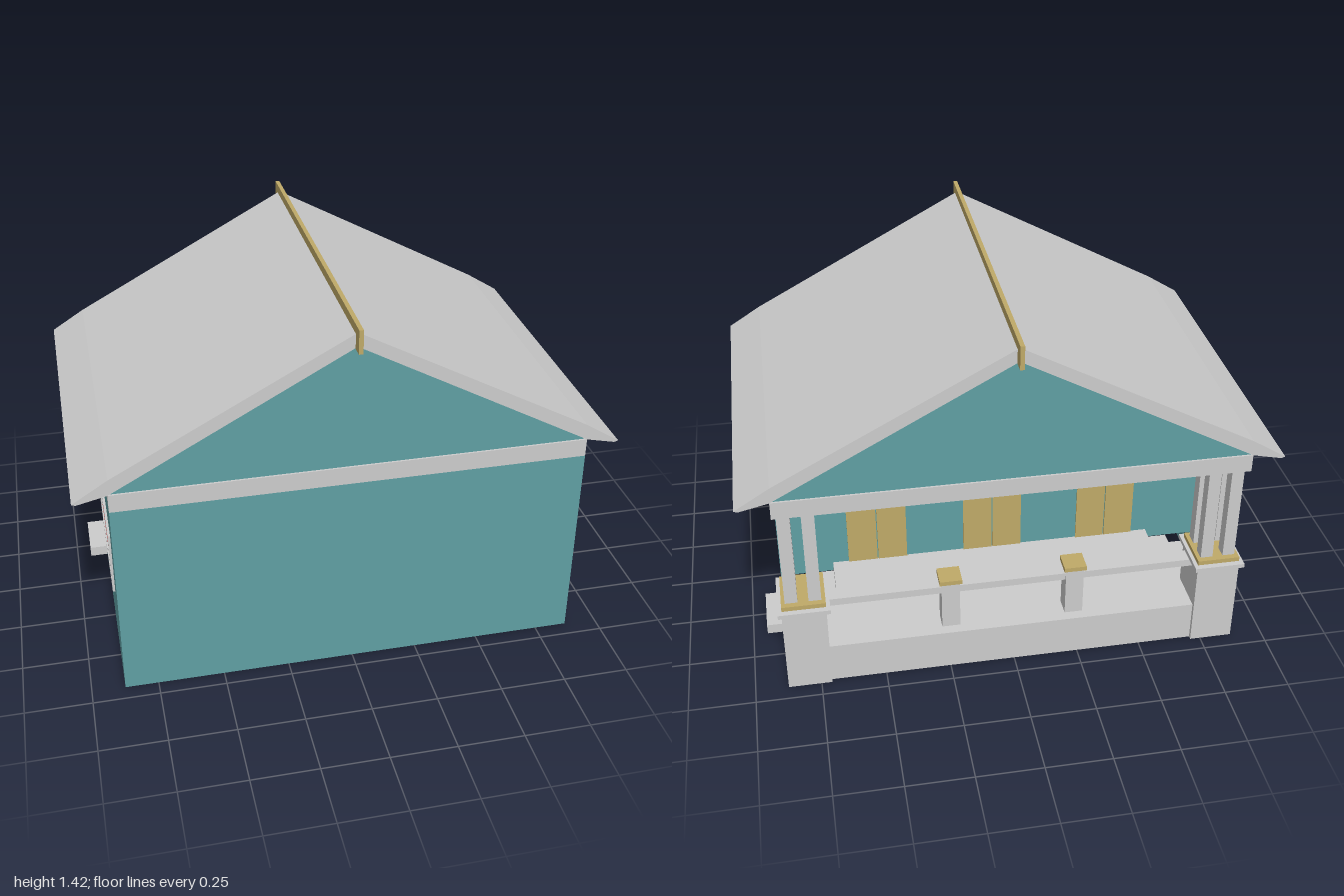
import * as THREE from 'three';

const mat = (color) => new THREE.MeshStandardMaterial({ color, flatShading: true, side: THREE.DoubleSide });
const GREY = mat(0xcccccc), TEAL = mat(0x5f9fa3), GOLD = mat(0xbfa968), RED = mat(0xa84444), BLACK = mat(0x0a0a0a);

export function createModel() {
  const model = new THREE.Group();

  // Box given by its extents along each axis
  const box = (name, m, [x0, x1], [y0, y1], [z0, z1], parent = model) => {
    const mesh = new THREE.Mesh(new THREE.BoxGeometry(Math.abs(x1 - x0), y1 - y0, z1 - z0), m);
    mesh.position.set((x0 + x1) / 2, (y0 + y1) / 2, (z0 + z1) / 2);
    mesh.name = name;
    parent.add(mesh);
    return mesh;
  };

  // Outline in x and y, extruded along z and centred
  const prism = (name, m, points, depth) => {
    const shape = new THREE.Shape(points.map(([x, y]) => new THREE.Vector2(x, y)));
    const geo = new THREE.ExtrudeGeometry(shape, { depth, bevelEnabled: false });
    geo.translate(0, 0, -depth / 2);
    const mesh = new THREE.Mesh(geo, m);
    mesh.name = name;
    model.add(mesh);
  };

  // Room: four walls, open underneath
  box('frontWall', TEAL, [-0.875, 0.875], [0, 0.79], [0.675, 0.69]);
  box('backWall', TEAL, [-0.86, 0.86], [0.125, 0.79], [-0.17, -0.155]);
  for (const s of [-1, 1]) box('sideWall', TEAL, [s * 0.86, s * 0.875], [0, 0.79], [-0.17, 0.675]);

  // Beam ring on top of the walls and columns
  for (const s of [-1, 1]) {
    box('endBeam', GREY, [-0.875, 0.875], [0.79, 0.86], s > 0 ? [0.64, 0.69] : [-0.69, -0.64]);
    box('sideBeam', GREY, [s * 0.83, s * 0.875], [0.79, 0.86], [-0.64, 0.64]);
  }
  box('ceiling', TEAL, [-0.83, 0.83], [0.8, 0.86], [-0.64, 0.64]);

  // Gable and roof with slightly flared eaves
  prism('gable', TEAL, [[-0.87, 0.86], [0.87, 0.86], [0, 1.34]], 1.365);
  prism('roof', GREY, [
    [0, 1.39], [-0.87, 0.922], [-1, 0.84], [-0.985, 0.835], [-0.875, 0.86],
    [0, 1.337], [0.875, 0.86], [0.985, 0.835], [1, 0.84], [0.87, 0.922],
  ], 1.38);

  // Ridge cap with drops at both ends
  box('ridgeCap', GOLD, [-0.008, 0.008], [1.37, 1.42], [-0.735, 0.735]);
  for (const z of [[0.69, 0.735], [-0.735, -0.69]]) box('ridgeDrop', GOLD, [-0.008, 0.008], [1.33, 1.37], z);

  // Three double doors facing the porch
  for (const x of [-0.475, 0, 0.475]) {
    for (const s of [-1, 1]) box('doorLeaf', GOLD, [x + s * 0.002, x + s * 0.12], [0.165, 0.62], [-0.176, -0.154]);
  }

  // Side window with frame and dark recess box
  box('windowBox', BLACK, [-0.877, -0.635], [0.36, 0.555], [-0.02, 0.505]);
  box('windowSill', RED, [-0.879, -0.64], [0.352, 0.36], [-0.02, 0.505]);
  for (const y of [[0.33, 0.352], [0.555, 0.58]]) box('windowFrame', GREY, [-0.884, -0.87], y, [-0.045, 0.53]);
  for (const z of [[-0.045, -0.02], [0.505, 0.53]]) box('windowFrame', GREY, [-0.884, -0.87], [0.352, 0.555], z);

  // Porch base and inner walkway
  box('porchBase', GREY, [-0.875, 0.875], [0, 0.165], [-0.675, -0.37]);
  box('walkway', GREY, [-0.66, 0.66], [0.125, 0.165], [-0.37, -0.17]);

  for (const s of [-1, 1]) {
    // Steps rising inward along the house wall
    for (let i = 0; i < 3; i++) {
      const x = 0.945 - i * 0.097;
      box('step', GREY, [s * (x - 0.11), s * x], [i * 0.0415, (i + 1) * 0.0415], [-0.37, -0.172]);
    }
    box('stepSideWall', RED, [s * 0.66, s * 0.873], [0.003, 0.163], [-0.372, -0.368]);

    // Pedestal with caps and a cluster of four columns
    const corner = new THREE.Group();
    corner.name = 'cornerPillar';
    model.add(corner);
    box('pedestal', GREY, [s * 0.71, s * 0.875], [0, 0.355], [-0.69, -0.508], corner);
    box('pedestalCap', GREY, [s * 0.695, s * 0.888], [0.355, 0.372], [-0.712, -0.488], corner);
    box('columnPlinth', GOLD, [s * 0.71, s * 0.873], [0.372, 0.39], [-0.69, -0.506], corner);
    for (const x of [0.725, 0.812]) {
      for (const z of [-0.668, -0.575]) box('column', GREY, [s * x, s * (x + 0.047)], [0.39, 0.79], [z, z + 0.047], corner);
    }

    // Railing posts
    box('railPost', GREY, [s * 0.205, s * 0.275], [0.165, 0.37], [-0.635, -0.565]);
    box('railPostCap', GOLD, [s * 0.197, s * 0.283], [0.37, 0.388], [-0.643, -0.557]);
  }
  box('rail', GREY, [-0.71, 0.71], [0.325, 0.355], [-0.63, -0.57]);

  return model;
}
